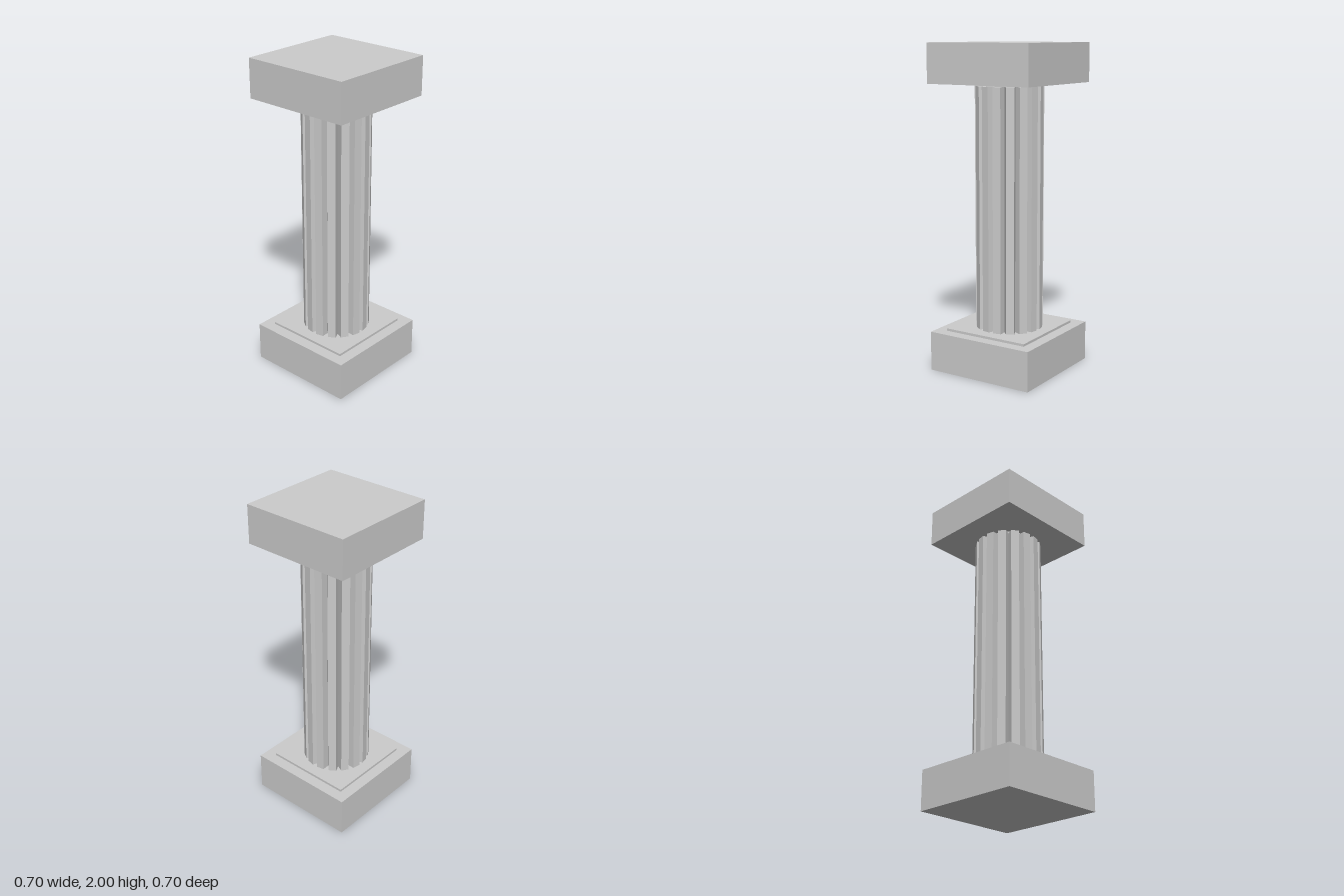
import * as THREE from 'three';

const material = new THREE.MeshStandardMaterial({ color: 0xcccccc, flatShading: true });

function addPart(group, name, geometry, y) {
  const mesh = new THREE.Mesh(geometry, material);
  mesh.name = name;
  mesh.position.y = y;
  group.add(mesh);
}

// Square slab resting between two heights
function addSlab(group, name, width, bottom, top) {
  addPart(group, name, new THREE.BoxGeometry(width, top - bottom, width), (bottom + top) / 2);
}

// Fluted outline: flat ribs separated by V-shaped grooves
function flutedShape(count, outer, inner, grooveHalf) {
  const points = [];
  const step = (Math.PI * 2) / count;
  const add = (r, a) => points.push(new THREE.Vector2(r * Math.cos(a), r * Math.sin(a)));
  for (let i = 0; i < count; i++) {
    const a = i * step;
    add(inner, a);
    add(outer, a + grooveHalf);
    add(outer, a + step - grooveHalf);
  }
  return new THREE.Shape(points);
}

export function createModel() {
  const column = new THREE.Group();
  column.name = 'column';

  // Stepped square base
  addSlab(column, 'base', 0.7, 0, 0.245);
  addSlab(column, 'baseStep', 0.56, 0.245, 0.26);

  // Fluted shaft
  const shaft = new THREE.ExtrudeGeometry(flutedShape(16, 0.209, 0.164, Math.PI / 40), {
    depth: 1.485,
    bevelEnabled: false,
  });
  shaft.rotateX(-Math.PI / 2);
  addPart(column, 'shaft', shaft, 0.26);

  // Recessed neck under the square capital
  addPart(column, 'neck', new THREE.CylinderGeometry(0.164, 0.164, 0.015, 16), 1.7525);
  addSlab(column, 'capital', 0.7, 1.76, 2);

  return column;
}
